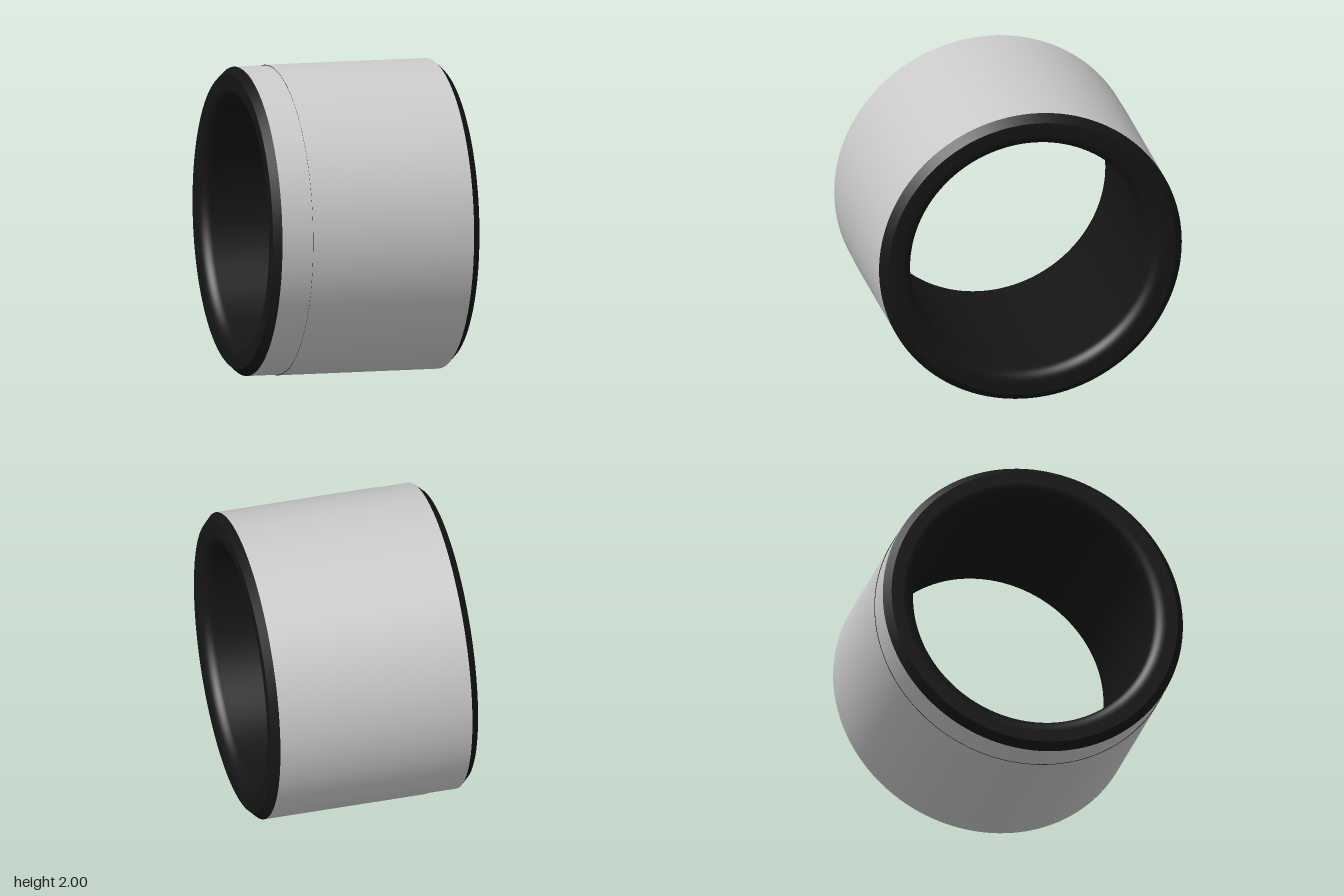
import * as THREE from 'three';

const SEGMENTS = 128;
const HALF = 0.69;      // half length along x
const BORE = 0.79;      // inner radius
const FILLET = 0.08;    // rounding of the bore mouths
const CHAMFER = 0.05;
const SEAM = -0.435;    // where the end band meets the sleeve
const BAND_R = 0.996;   // end band sits slightly lower than the sleeve

const steel = new THREE.MeshStandardMaterial({ color: 0xcccccc });
const black = new THREE.MeshStandardMaterial({ color: 0x151515 });

// Revolved surface from [radius, x] points, ordered outer side up, bore down
function revolve(name, points, material) {
  const geometry = new THREE.LatheGeometry(points.map(([r, x]) => new THREE.Vector2(r, x)), SEGMENTS);
  geometry.rotateZ(-Math.PI / 2);
  const mesh = new THREE.Mesh(geometry, material);
  mesh.name = name;
  return mesh;
}

// Bore with rounded mouths, running from the +x face to the -x face
function boreProfile() {
  const points = [];
  const steps = 10;
  for (let i = 0; i <= steps; i++) {
    const a = (i / steps) * Math.PI / 2;
    points.push([BORE + FILLET * (1 - Math.sin(a)), HALF - FILLET * (1 - Math.cos(a))]);
  }
  return points.concat(points.map(([r, x]) => [r, -x]).reverse());
}

export function createModel() {
  const ring = new THREE.Group();
  ring.name = 'bushing';
  const edge = HALF - CHAMFER;
  const faceOuter = 1 - CHAMFER;
  const faceInner = BORE + FILLET;

  // Metal outer surfaces
  ring.add(revolve('endBand', [[BAND_R, -edge], [BAND_R, SEAM]], steel));
  ring.add(revolve('sleeve', [[1, SEAM], [1, edge]], steel));

  // Dark step, chamfers, end faces and bore
  ring.add(revolve('seamStep', [[BAND_R, SEAM], [1, SEAM]], black));
  ring.add(revolve('leftChamfer', [[1, edge], [faceOuter, HALF]], black));
  ring.add(revolve('leftFace', [[faceOuter, HALF], [faceInner, HALF]], black));
  ring.add(revolve('bore', boreProfile(), black));
  ring.add(revolve('rightFace', [[faceInner, -HALF], [faceOuter, -HALF]], black));
  ring.add(revolve('rightChamfer', [[faceOuter, -HALF], [BAND_R, -edge]], black));

  ring.position.y = 1;
  const model = new THREE.Group();
  model.name = 'model';
  model.add(ring);
  return model;
}
